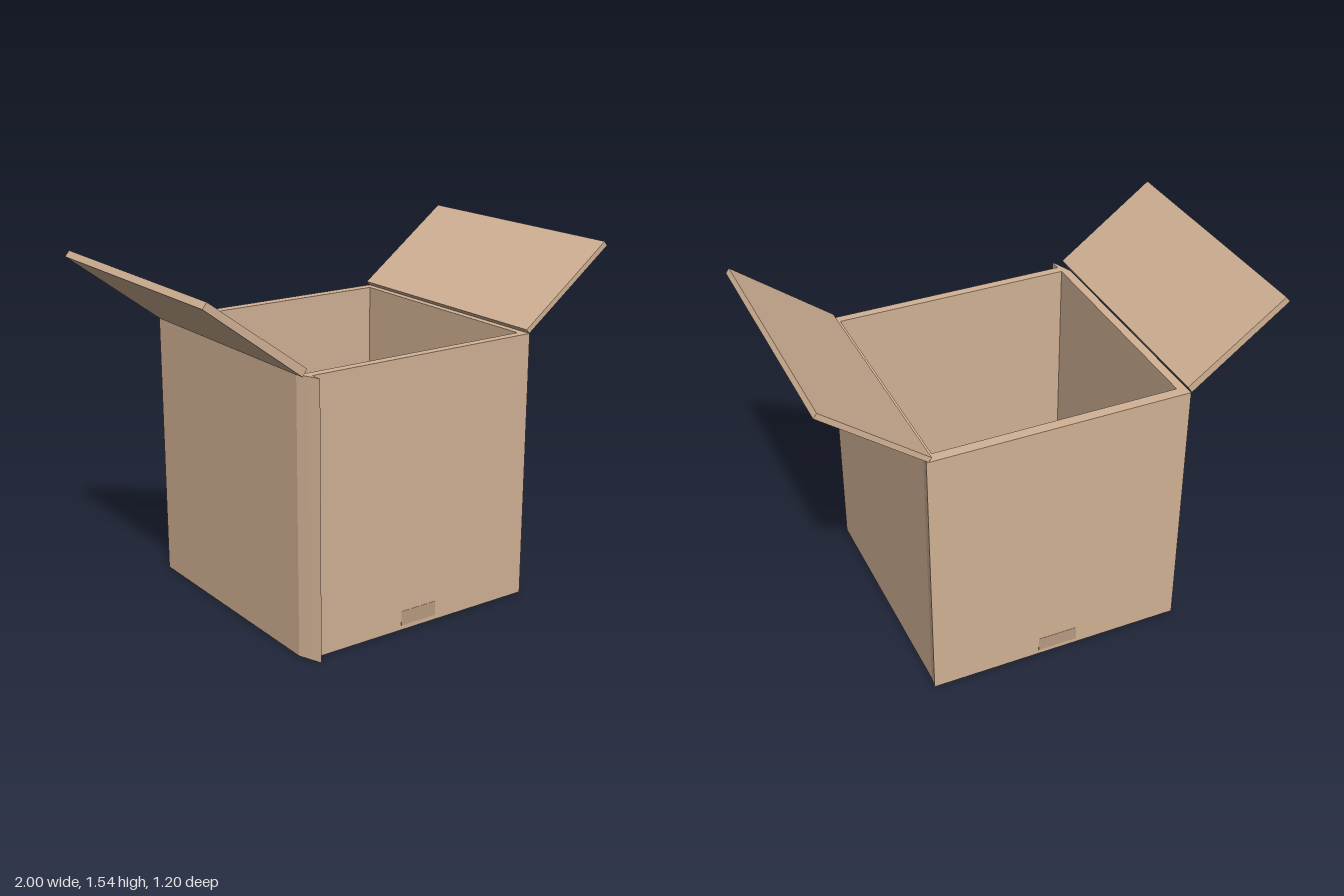
import * as THREE from 'three';

const card = new THREE.MeshStandardMaterial({ color: 0xd2b295 });
const tapeMat = new THREE.MeshStandardMaterial({ color: 0xb99c82 });

// Box given by its low and high corners
function slab(name, lo, hi, material = card) {
  const size = hi.map((v, i) => v - lo[i]);
  const mesh = new THREE.Mesh(new THREE.BoxGeometry(...size), material);
  mesh.position.set(...hi.map((v, i) => (v + lo[i]) / 2));
  mesh.name = name;
  return mesh;
}

// Prism from an outline of [a, b] points
function prism(name, points, depth) {
  const shape = new THREE.Shape(points.map(p => new THREE.Vector2(...p)));
  const geometry = new THREE.ExtrudeGeometry(shape, { depth, bevelEnabled: false });
  const mesh = new THREE.Mesh(geometry, card);
  mesh.name = name;
  return mesh;
}

// Upright prism: outline in plan as [x, z], standing on the ground
function upright(name, plan, height) {
  const mesh = prism(name, plan.map(([x, z]) => [x, -z]), height);
  mesh.rotation.x = -Math.PI / 2;
  return mesh;
}

export function createModel() {
  const group = new THREE.Group();
  const H = 1.19, back = -0.598, front = 0.545;

  // Floor and four walls
  group.add(
    slab('floor', [-0.54, 0, -0.56], [0.545, 0.08, 0.515]),
    slab('frontWall', [-0.532, 0, 0.505], [0.572, H, front]),
    slab('backWall', [-0.572, 0, back], [0.572, H, -0.55]),
    slab('leftWall', [0.538, 0, -0.55], [0.572, H, 0.505]),
    upright('rightWall', [[-0.572, -0.55], [-0.532, -0.55], [-0.532, front], [-0.553, front], [-0.572, 0.495]], H),
  );

  // Glue tabs at two opposite corners
  group.add(
    upright('frontGlueTab', [[-0.553, front], [-0.532, front], [-0.532, 0.598]], H),
    upright('backGlueTab', [[0.572, -0.547], [0.572, back], [0.579, back]], H),
  );

  // Sealing tape along the floor, showing at both ends
  group.add(slab('tape', [-0.09, 0.02, back - 0.001], [0.09, 0.085, front + 0.001], tapeMat));

  // Two open flaps, tilted outwards
  const flaps = [
    prism('rightFlap', [[-0.575, 1.19], [-0.555, 1.22], [-0.98, 1.536], [-1, 1.512]], front - back),
    prism('leftFlap', [[0.57, 1.19], [0.555, 1.208], [0.985, 1.536], [1, 1.516]], front - back),
  ];
  for (const flap of flaps) {
    flap.position.z = back;
    group.add(flap);
  }
  return group;
}
